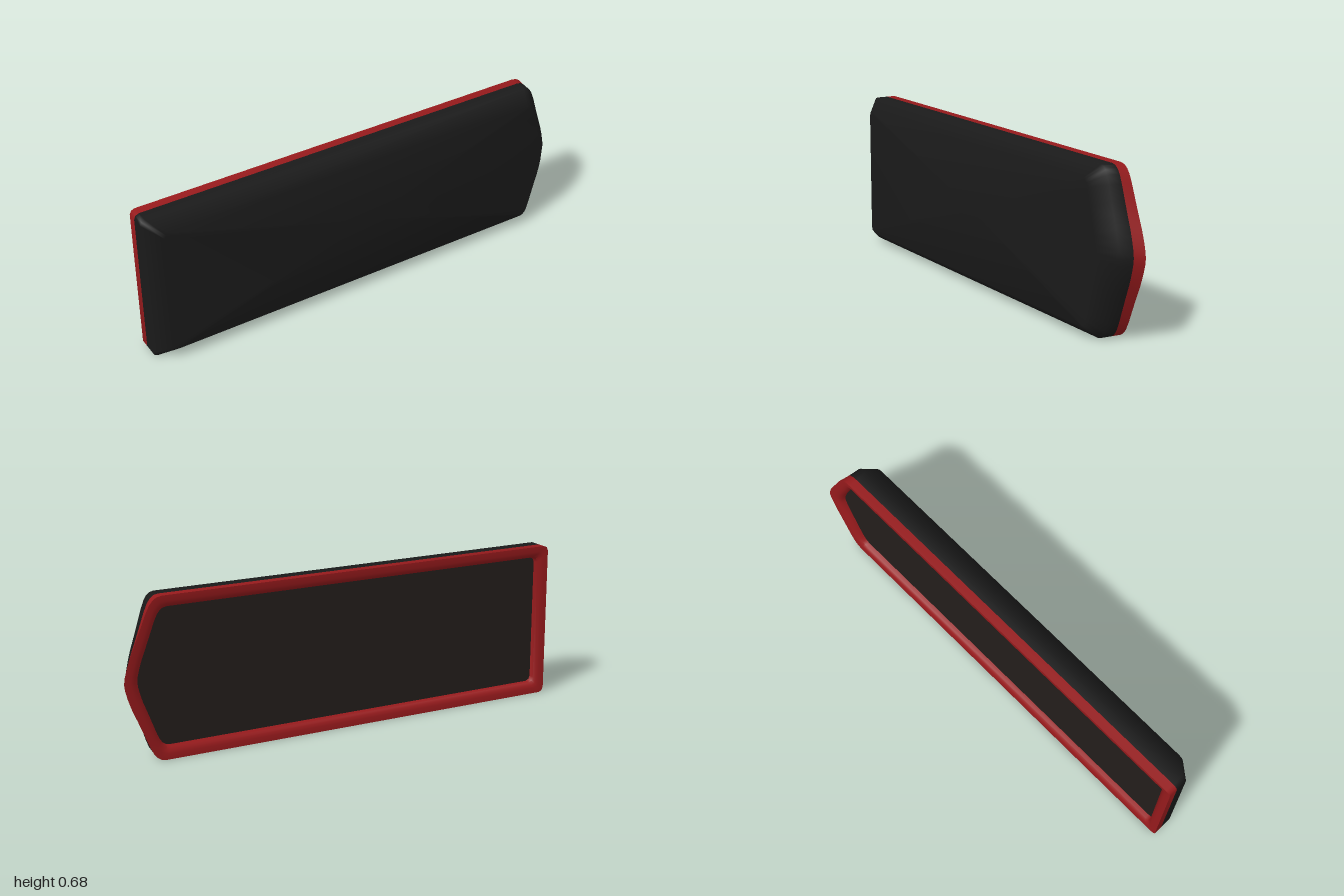
import * as THREE from 'three';
import { toCreasedNormals } from 'three/addons/utils/BufferGeometryUtils.js';

const MID = 0.3375; // half height

// Nose profile from shoulder to tip: [fraction of nose length, fraction of half height]
const NOSE = [[0, 1], [0.14, 0.988], [0.24, 0.955], [0.33, 0.9], [0.43, 0.8], [0.56, 0.64],
  [0.7, 0.47], [0.83, 0.32], [0.92, 0.19], [0.98, 0.08]];

// Closed outline, counter-clockwise from the front: blunt left end, bowed right end
function outline({ z, inset = 0, left = -1, tip = 1 }) {
  const h = MID - inset, shoulder = 0.83 - inset * 0.5, r = 0.022;
  const upper = NOSE.map(([u, v]) => [shoulder + (tip - shoulder) * u, h * v]);
  upper.push([left + r, h], [left + r * 0.3, h - r * 0.3], [left, h - r]);
  upper.sort((a, b) => b[0] - a[0]);
  const lower = upper.map(([x, y]) => [x, -y]).reverse();
  return [[tip, 0], ...upper, ...lower].map(([x, y]) => [x, y + MID, z]);
}

// Skin between successive outlines, with an optional cap on the last one
function skin(layers, cap = false) {
  const rings = layers.map(outline), n = rings[0].length, index = [];
  const points = rings.flat();
  for (let k = 0; k < rings.length - 1; k++) {
    for (let i = 0; i < n; i++) {
      const a = k * n + i, b = k * n + (i + 1) % n;
      index.push(a, b, b + n, a, b + n, a + n);
    }
  }
  if (cap) {
    const base = (rings.length - 1) * n, centre = points.length;
    points.push([0, MID, layers[layers.length - 1].z]);
    for (let i = 0; i < n; i++) index.push(base + i, base + (i + 1) % n, centre);
  }
  const geometry = new THREE.BufferGeometry();
  geometry.setAttribute('position', new THREE.Float32BufferAttribute(points.flat(), 3));
  geometry.setIndex(index);
  geometry.computeVertexNormals();
  return geometry;
}

function part(name, geometry, color) {
  const mesh = new THREE.Mesh(geometry, new THREE.MeshStandardMaterial({ color }));
  mesh.name = name;
  return mesh;
}

export function createModel() {
  const group = new THREE.Group();
  group.name = 'cover';

  // Dark shell: straight sides, then a wide bevel up to the flat front
  group.add(part('shell', skin([
    { z: -0.038, tip: 0.978 },
    { z: 0.013, tip: 0.958 },
    { z: 0.077, inset: 0.05, left: -0.93, tip: 0.9 },
  ], true), 0x1a1a1a));

  // Red rim: inner wall, rounded inner lip, flat back and outer side
  const rim = skin([
    { z: -0.045, inset: 0.052, left: -0.948, tip: 0.935 },
    { z: -0.064, inset: 0.048, left: -0.952, tip: 0.94 },
    { z: -0.073, inset: 0.036, left: -0.964, tip: 0.955 },
    { z: -0.077, inset: 0.024, left: -0.976, tip: 0.972 },
    { z: -0.077 },
    { z: -0.038, tip: 0.978 },
  ]);
  group.add(part('rim', toCreasedNormals(rim, 0.8), 0x961a1c));

  // Recessed back panel, facing backwards
  const panel = skin([{ z: -0.045, inset: 0.052, left: -0.948, tip: 0.935 }], true);
  panel.setIndex([...panel.index.array].reverse());
  panel.computeVertexNormals();
  group.add(part('backPanel', panel, 0x231d1b));

  return group;
}
